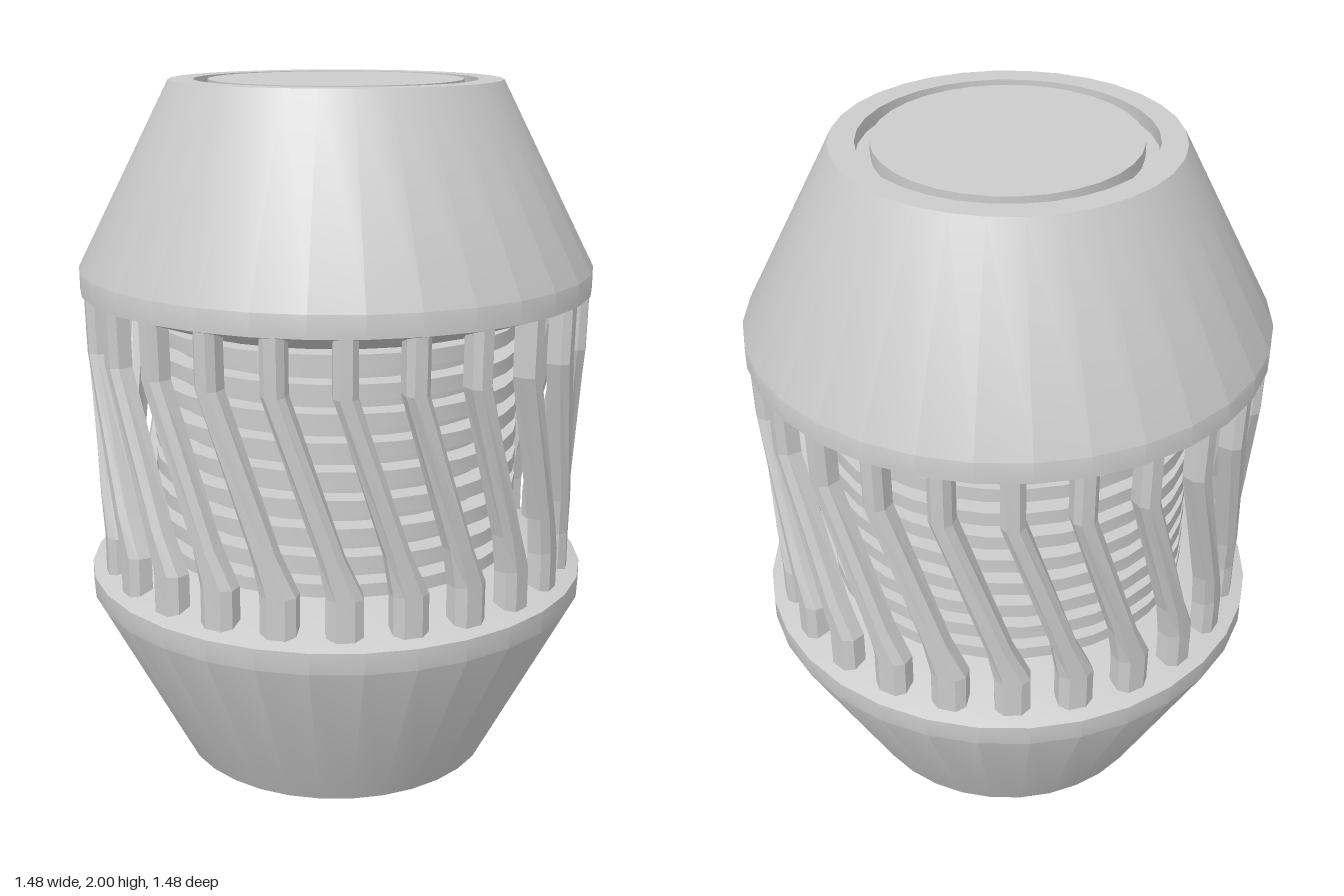
import * as THREE from 'three';
import { toCreasedNormals } from 'three/addons/utils/BufferGeometryUtils.js';

const SIDES = 32;
const BARS = 24;
const material = new THREE.MeshStandardMaterial({ color: 0xcccccc });

function addMesh(parent, name, geometry) {
  const mesh = new THREE.Mesh(geometry, material);
  mesh.name = name;
  parent.add(mesh);
  return mesh;
}

function lathe(points) {
  const profile = points.map(([r, y]) => new THREE.Vector2(r, y));
  return toCreasedNormals(new THREE.LatheGeometry(profile, SIDES), 0.5);
}

// One cage bar: a chamfered section swept down through [y, angle, radius, width]
function barGeometry() {
  const stations = [
    [0.57, 15, 0.7, 0.1],
    [0.71, 15, 0.7, 0.1],
    [0.82, 12, 0.705, 0.07],
    [1.26, 0, 0.727, 0.065],
    [1.43, 0, 0.73, 0.065],
  ];
  const section = [[0.25, 0], [0.5, 0.02], [0.5, 0.06], [-0.5, 0.06], [-0.5, 0.02], [-0.25, 0]];
  const n = section.length;
  const positions = [];
  const index = [];
  for (const [y, degrees, radius, width] of stations) {
    const a = THREE.MathUtils.degToRad(degrees);
    for (const [across, depth] of section) {
      const u = across * width;
      const r = radius - depth;
      positions.push(r * Math.sin(a) + u * Math.cos(a), y, r * Math.cos(a) - u * Math.sin(a));
    }
  }
  for (let s = 0; s < stations.length - 1; s++) {
    for (let i = 0; i < n; i++) {
      const a = s * n + i;
      const b = s * n + ((i + 1) % n);
      index.push(a, a + n, b, b, a + n, b + n);
    }
  }
  // End faces
  const top = (stations.length - 1) * n;
  for (let i = 1; i < n - 1; i++) {
    index.push(0, i + 1, i);
    index.push(top, top + i, top + i + 1);
  }
  // Reverse every triangle so the faces point outwards
  const flip = volume(positions, index) < 0;
  if (flip) index.reverse();
  const geometry = new THREE.BufferGeometry();
  geometry.setAttribute('position', new THREE.Float32BufferAttribute(positions, 3));
  geometry.setIndex(index);
  return toCreasedNormals(geometry, 0.1);
}

// Signed volume of a closed mesh
function volume(positions, index) {
  const p = index.map((i) => new THREE.Vector3().fromArray(positions, i * 3));
  let sum = 0;
  for (let i = 0; i < p.length; i += 3) sum += p[i].dot(p[i + 1].clone().cross(p[i + 2]));
  return sum;
}

export function createModel() {
  const model = new THREE.Group();
  model.name = 'cagedCanister';

  // Flared end caps with a groove around the end disc
  const capGeometry = lathe([
    [0, 1.345], [0.53, 1.345], [0.738, 1.418], [0.738, 1.48], [0.47, 2],
    [0.4, 2], [0.4, 1.96], [0.36, 1.96], [0.36, 2], [0, 2],
  ]);
  addMesh(model, 'topCap', capGeometry);
  const bottomCap = addMesh(model, 'bottomCap', capGeometry);
  bottomCap.rotation.x = Math.PI;
  bottomCap.position.y = 2;

  // Inner core
  const core = addMesh(model, 'core', new THREE.CylinderGeometry(0.47, 0.47, 0.7, SIDES, 1, true));
  core.position.y = 1;

  // Stacked fins around the core
  const fins = new THREE.Group();
  fins.name = 'coolingFins';
  model.add(fins);
  const h = 0.021;
  const finGeometry = lathe([[0.46, -h], [0.535, -h], [0.535, h], [0.46, h]]);
  for (let i = 0; i < 9; i++) {
    addMesh(fins, 'fin', finGeometry).position.y = 0.67 + i * 0.08;
  }

  // Twisted cage bars
  const cage = new THREE.Group();
  cage.name = 'cage';
  model.add(cage);
  const bar = barGeometry();
  for (let i = 0; i < BARS; i++) {
    addMesh(cage, 'cageBar', bar).rotation.y = (i / BARS) * Math.PI * 2;
  }

  return model;
}
